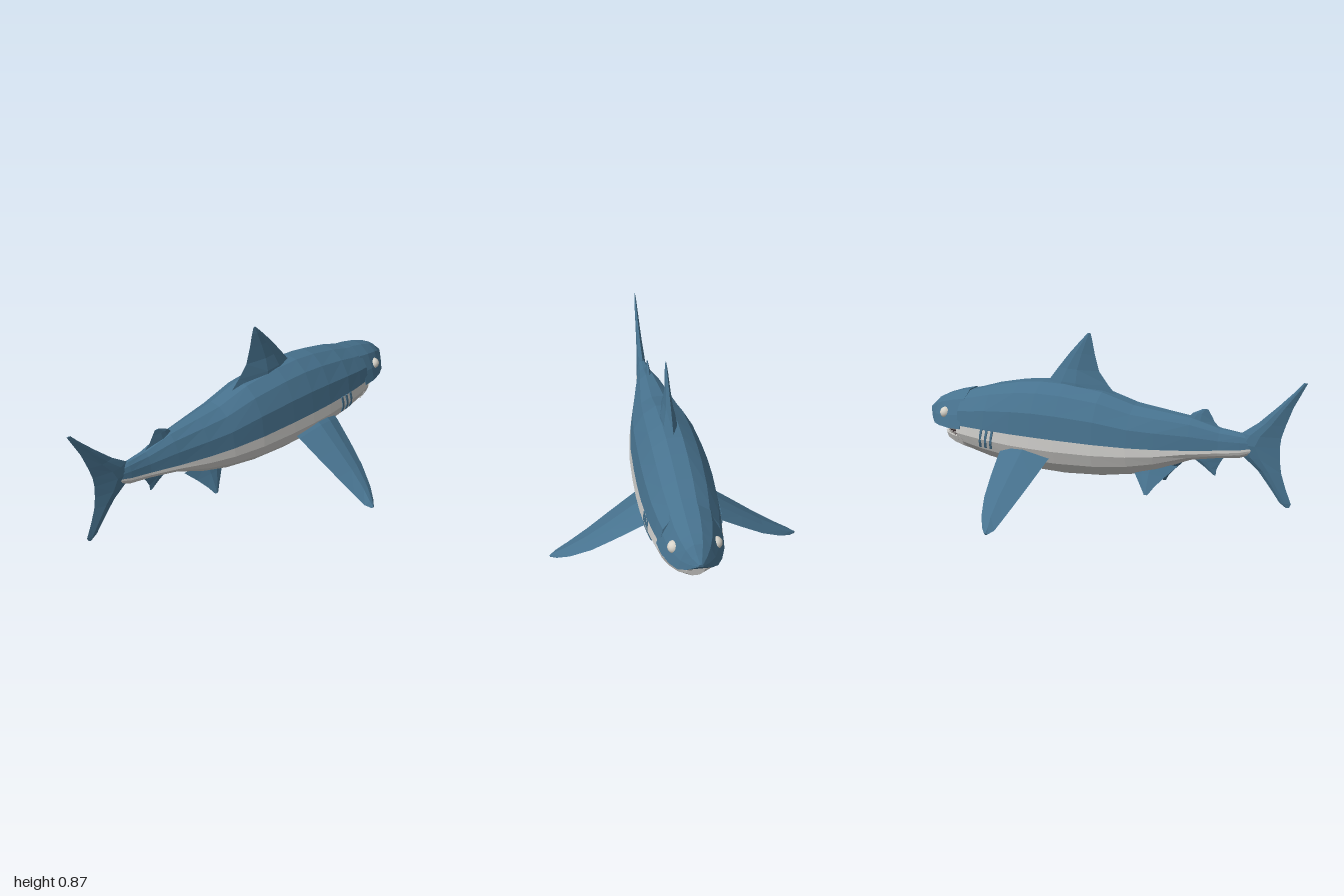
import * as THREE from 'three';

const mat = (name, color) => {
  const m = new THREE.MeshStandardMaterial({ color });
  m.name = name;
  return m;
};

// Closed faceted solid through a list of rings (each an array of [x, y, z])
function loft(rings) {
  const tris = [], n = rings[0].length;
  for (let i = 0; i < rings.length - 1; i++) {
    for (let j = 0; j < n; j++) {
      const k = (j + 1) % n, a = rings[i], b = rings[i + 1];
      tris.push([a[j], a[k], b[k]], [a[j], b[k], b[j]]);
    }
  }
  const first = rings[0], last = rings[rings.length - 1];
  for (let j = 1; j < n - 1; j++) {
    tris.push([first[0], first[j + 1], first[j]], [last[0], last[j], last[j + 1]]);
  }
  // Turn the faces outward
  let volume = 0;
  for (const [a, b, c] of tris) {
    volume += a[0] * (b[1] * c[2] - b[2] * c[1]) + a[1] * (b[2] * c[0] - b[0] * c[2])
      + a[2] * (b[0] * c[1] - b[1] * c[0]);
  }
  if (volume < 0) tris.forEach((t) => t.reverse());
  const geo = new THREE.BufferGeometry();
  geo.setAttribute('position', new THREE.Float32BufferAttribute(tris.flat(2), 3));
  geo.computeVertexNormals();
  return geo;
}

// Half cross-sections: [share of half width, share of height from the base line]
const BACK = [[1, 0], [0.9, 0.45], [0.6, 0.8], [0.22, 0.975]];
const BELLY = [[1, 0], [1.04, 0.28], [0.9, 0.6], [0.58, 0.88], [0.22, 1]];
const HEAD = [[1, 0], [0.86, 0.36], [0.6, 0.77], [0.22, 0.97]];
const JAW = [[1, 0], [0.85, 0.6], [0.4, 1]];

function halfRing(profile, z, base, edge, w) {
  const side = profile.map(([a, b]) => [a * w, base + (edge - base) * b, z]);
  return [...side, ...side.slice().reverse().map(([x, y, zz]) => [-x, y, zz])];
}

// Body stations: z, top, colour line, bottom, half width
const BODY = [
  [0.78, 0.45, 0.41, 0.385, 0.014], [0.70, 0.472, 0.395, 0.352, 0.032],
  [0.60, 0.483, 0.385, 0.338, 0.048], [0.46, 0.522, 0.374, 0.312, 0.08],
  [0.30, 0.54, 0.367, 0.242, 0.115], [0.17, 0.555, 0.365, 0.203, 0.14],
  [0, 0.603, 0.365, 0.173, 0.162], [-0.2, 0.622, 0.365, 0.157, 0.172],
  [-0.33, 0.622, 0.365, 0.158, 0.175], [-0.45, 0.607, 0.365, 0.165, 0.174],
  [-0.6, 0.573, 0.365, 0.188, 0.166], [-0.7, 0.54, 0.363, 0.21, 0.152],
  [-0.77, 0.522, 0.36, 0.226, 0.138],
];

// Half width of the belly surface at a given z and y
function bellyX(z, y) {
  const i = BODY.findIndex((s) => s[0] <= z), a = BODY[i - 1], b = BODY[i];
  const s = a.map((v, k) => v + (b[k] - v) * (z - a[0]) / (b[0] - a[0]));
  const t = Math.max(0, (y - s[2]) / (s[3] - s[2]));
  const j = Math.max(1, BELLY.findIndex((p) => p[1] >= t));
  const p = BELLY[j - 1], q = BELLY[j];
  return s[4] * (p[0] + (q[0] - p[0]) * (t - p[1]) / (q[1] - p[1]));
}

// Fin from sections [x, y, leading z, trailing z, half thickness], thick along (nx, ny)
function fin(sections, nx = 1, ny = 0) {
  return loft(sections.map(([x, y, lead, trail, t]) => {
    const at = (f, k) => [x + nx * t * k, y + ny * t * k, lead + (trail - lead) * f];
    return [at(0, 0), at(0.25, 0.85), at(0.5, 1), at(1, 0), at(0.5, -1), at(0.25, -0.85)];
  }));
}

export function createModel() {
  const blue = mat('slate blue skin', 0x47728e);
  const pale = mat('pale grey belly', 0xc9c8c5);
  const eyeWhite = mat('eye ivory', 0xd8d4ca);
  const toothWhite = mat('tooth white', 0xf0eee8);
  const dark = mat('dark mouth', 0x33272a);
  const model = new THREE.Group();
  model.name = 'shark';
  const add = (name, geo, material, parent = model) => {
    const mesh = new THREE.Mesh(geo, material);
    mesh.name = name;
    parent.add(mesh);
    return mesh;
  };

  // Body in two colours
  add('back', loft(BODY.map(([z, top, mid, , w]) => halfRing(BACK, z, mid, top, w))), blue);
  add('belly', loft(BODY.map(([z, , mid, low, w]) => halfRing(BELLY, z, mid, low, w))), pale);

  // Head with pointed snout
  add('head', loft([
    [-0.745, 0.345, 0.536, 0.15], [-0.82, 0.34, 0.517, 0.139], [-0.89, 0.34, 0.492, 0.115],
    [-0.935, 0.342, 0.468, 0.088], [-0.967, 0.36, 0.436, 0.055], [-1, 0.395, 0.407, 0.012],
  ].map(([z, base, top, w]) => halfRing(HEAD, z, base, top, w))), blue);
  add('snoutUnderside', loft([
    [-0.74, 0.35, 0.312, 0.142], [-0.82, 0.345, 0.314, 0.128], [-0.89, 0.345, 0.318, 0.1],
    [-0.935, 0.346, 0.328, 0.07], [-0.967, 0.364, 0.351, 0.04],
  ].map(([z, top, low, w]) => halfRing(JAW, z, top, low, w))), pale);
  add('lowerJaw', loft([
    [-0.74, 0.302, 0.221, 0.143], [-0.8, 0.3, 0.234, 0.122], [-0.86, 0.299, 0.25, 0.085],
    [-0.893, 0.297, 0.266, 0.042],
  ].map(([z, top, low, w]) => halfRing(JAW, z, top, low, w))), pale);
  add('mouthInside', loft([
    [-0.74, 0.29, 0.33, 0.135], [-0.8, 0.29, 0.33, 0.108], [-0.865, 0.29, 0.33, 0.055],
  ].map(([z, low, top, w]) => [[w, low, z], [w, top, z], [-w, top, z], [-w, low, z]])), dark);

  // Teeth around the jaw, alternating up and down
  const teeth = new THREE.Group();
  teeth.name = 'teeth';
  model.add(teeth);
  const cone = new THREE.ConeGeometry(0.006, 0.017, 4);
  for (let i = 0; i < 25; i++) {
    const a = (i / 24 - 0.5) * Math.PI;
    const tooth = add('tooth', cone, toothWhite, teeth);
    tooth.position.set(0.113 * Math.sin(a), 0.307, -0.785 - 0.092 * Math.cos(a));
    if (i % 2) tooth.rotation.x = Math.PI;
  }

  // Fins on the midline
  add('dorsalFin', fin([
    [0, 0.55, -0.37, 0.09, 0.045], [0, 0.625, -0.3, 0.02, 0.036], [0, 0.69, -0.25, -0.03, 0.02],
    [0, 0.77, -0.185, -0.052, 0.012], [0, 0.84, -0.122, -0.066, 0.007],
    [0, 0.875, -0.088, -0.075, 0.002],
  ]), blue);
  add('secondDorsalFin', fin([
    [0, 0.47, 0.4, 0.61, 0.016], [0, 0.505, 0.43, 0.57, 0.013], [0, 0.54, 0.46, 0.55, 0.007],
    [0, 0.565, 0.51, 0.535, 0.002],
  ]), blue);
  add('analFin', fin([
    [0, 0.36, 0.42, 0.63, 0.016], [0, 0.31, 0.475, 0.6, 0.011], [0, 0.275, 0.53, 0.583, 0.006],
    [0, 0.245, 0.568, 0.58, 0.002],
  ]), blue);
  add('tailFin', fin([
    [0, 0.137, 0.925, 0.942, 0.003], [0, 0.157, 0.895, 0.95, 0.006],
    [0, 0.225, 0.845, 0.922, 0.01], [0, 0.3, 0.785, 0.897, 0.015], [0, 0.36, 0.71, 0.888, 0.02],
    [0, 0.42, 0.66, 0.885, 0.024], [0, 0.47, 0.7, 0.89, 0.02], [0, 0.53, 0.78, 0.908, 0.015],
    [0, 0.62, 0.872, 0.94, 0.01], [0, 0.7, 0.948, 0.98, 0.006], [0, 0.74, 0.982, 1, 0.002],
  ]), blue);

  // Paired parts
  for (const s of [1, -1]) {
    const side = s > 0 ? 'left' : 'right';
    add(side + 'PectoralFin', fin([
      [0.1, 0.295, -0.51, -0.21, 0.036], [0.18, 0.258, -0.5, -0.228, 0.034],
      [0.3, 0.182, -0.478, -0.252, 0.026], [0.41, 0.112, -0.452, -0.276, 0.021],
      [0.51, 0.054, -0.41, -0.295, 0.016], [0.57, 0.022, -0.37, -0.305, 0.012],
      [0.6, 0.01, -0.342, -0.325, 0.006],
    ].map(([x, ...rest]) => [x * s, ...rest]), s * 0.5, 0.87), blue);
    add(side + 'PelvicFin', fin([
      [0.035, 0.275, 0.15, 0.4, 0.018], [0.065, 0.22, 0.19, 0.345, 0.014],
      [0.095, 0.175, 0.23, 0.305, 0.008], [0.12, 0.138, 0.262, 0.28, 0.002],
    ].map(([x, ...rest]) => [x * s, ...rest]), s * 0.8, 0.6), blue);

    const eye = add(side + 'Eye', new THREE.SphereGeometry(0.029, 16, 12), eyeWhite);
    eye.position.set(s * 0.091, 0.407, -0.862);

    // Gill slits hugging the flank
    for (const z0 of [-0.54, -0.572, -0.604]) {
      add(side + 'GillSlit', loft([0.368, 0.335, 0.3, 0.27].map((y) => {
        const z = z0 - (0.368 - y) * 0.17, x = bellyX(z, y);
        return [[s * (x - 0.003), y, z - 0.006], [s * (x + 0.005), y, z - 0.006],
          [s * (x + 0.005), y, z + 0.006], [s * (x - 0.003), y, z + 0.006]];
      })), blue);
    }
  }
  return model;
}
